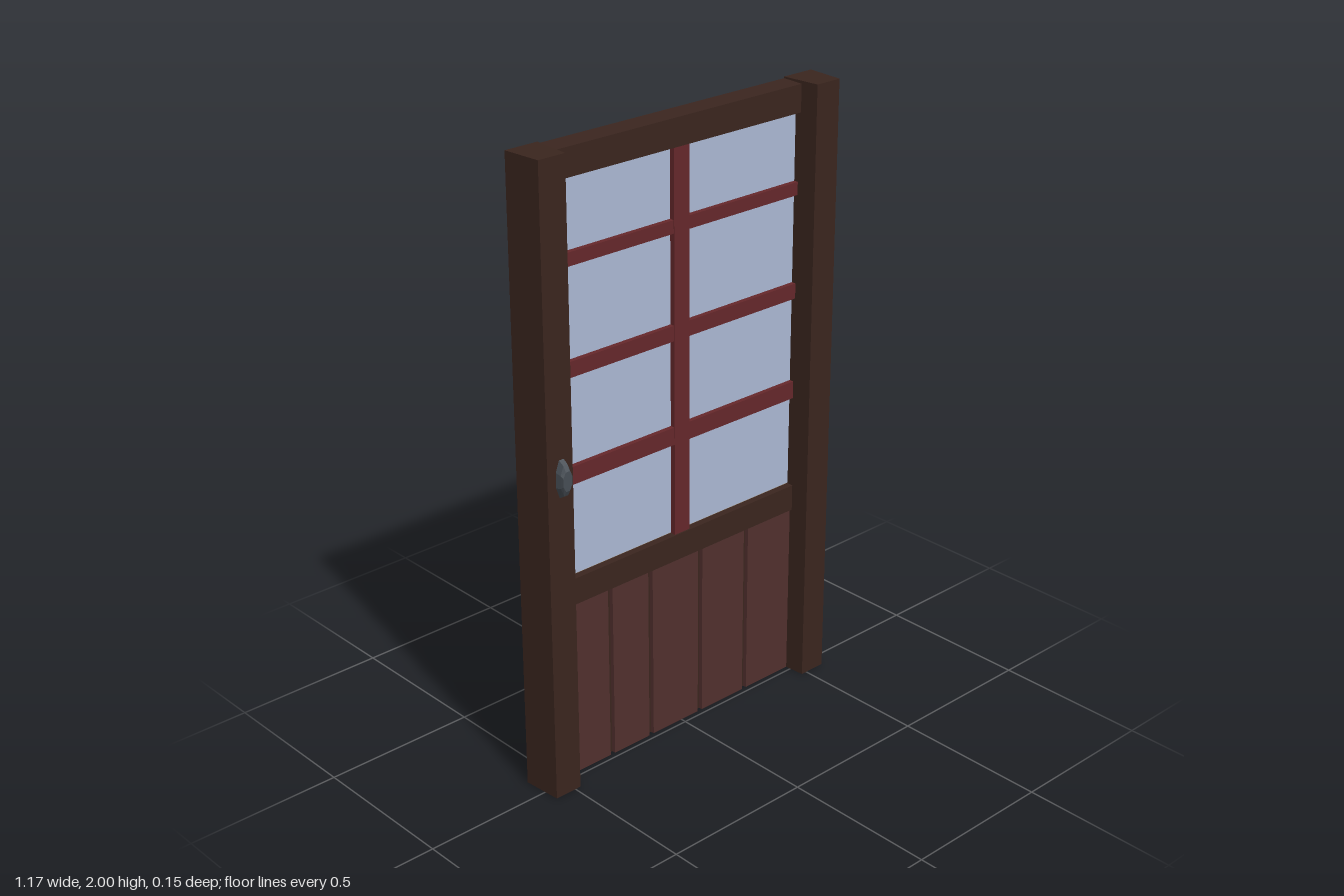
import * as THREE from 'three';

const mat = (color) => new THREE.MeshStandardMaterial({ color, side: THREE.DoubleSide, flatShading: true });

// Box faces in built-in order: 0 +x, 1 -x, 2 +y, 3 -y, 4 +z, 5 -z
function shell([x0, x1], [y0, y1], [zBack, zFront], taperX, taperY, omit) {
  const w = x1 - x0, h = y1 - y0;
  const g = new THREE.BoxGeometry(w, h, zFront - zBack);
  const p = g.attributes.position;
  // Narrow the front edge of the moulding
  for (let i = 0; i < p.count; i++) {
    if (p.getZ(i) > 0) {
      p.setX(i, p.getX(i) - Math.sign(p.getX(i)) * taperX);
      p.setY(i, p.getY(i) - Math.sign(p.getY(i)) * taperY);
    }
  }
  const index = Array.from(g.index.array).filter((_, i) => !omit.includes(Math.floor(i / 6)));
  g.setIndex(index);
  g.clearGroups();
  g.translate((x0 + x1) / 2, (y0 + y1) / 2, (zBack + zFront) / 2);
  g.computeVertexNormals();
  return g;
}

function sheet(w, y0, y1, z) {
  return new THREE.PlaneGeometry(w, y1 - y0).translate(0, (y0 + y1) / 2, z);
}

// Faceted oval dome lofted through rings of [z, radiusX, radiusY]
function ovalLoft(rings, sides) {
  const pos = [], idx = [];
  for (const [z, rx, ry] of rings) {
    for (let i = 0; i < sides; i++) {
      const a = ((i + 0.5) / sides) * Math.PI * 2;
      pos.push(rx * Math.cos(a), ry * Math.sin(a), z);
    }
  }
  for (let r = 0; r < rings.length - 1; r++) {
    for (let i = 0; i < sides; i++) {
      const a = r * sides + i, b = r * sides + ((i + 1) % sides);
      idx.push(a, b, a + sides, b, b + sides, a + sides);
    }
  }
  const last = (rings.length - 1) * sides;
  for (let i = 1; i < sides - 1; i++) idx.push(last, last + i, last + i + 1);
  const g = new THREE.BufferGeometry();
  g.setAttribute('position', new THREE.Float32BufferAttribute(pos, 3));
  g.setIndex(idx);
  g.computeVertexNormals();
  return g;
}

export function createModel() {
  const door = new THREE.Group();
  door.name = 'door';
  const frame = mat(0x3a251e), bar = mat(0x64272a), wood = mat(0x502f2d);
  const glass = mat(0xaab7d2), backing = mat(0xa99c88), metal = mat(0x464d54);
  const add = (name, geometry, material) => {
    const m = new THREE.Mesh(geometry, material);
    m.name = name;
    door.add(m);
    return m;
  };
  const back = -0.077, reach = 0.5;

  // Side posts, hollow and open at the back and foot
  add('leftPost', shell([0.47, 0.583], [0, 2], [back, 0.05], 0.01, 0, [3, 5]), frame);
  add('rightPost', shell([-0.583, -0.47], [0, 2], [back, 0.05], 0.01, 0, [3, 5]), frame);

  // Top and middle rails
  add('topRail', shell([-reach, reach], [1.9, 1.995], [back, -0.01], 0, 0.004, [0, 1, 5]), frame);
  add('middleRail', shell([-reach, reach], [0.585, 0.68], [back, -0.01], 0, 0.004, [0, 1, 5]), frame);

  // Glazing bars
  for (const [y0, y1] of [[0.975, 1.04], [1.31, 1.367], [1.643, 1.692]]) {
    add('crossBar', shell([-reach, reach], [y0, y1], [back, -0.016], 0, 0.004, [0, 1, 5]), bar);
  }
  add('uprightBar', shell([-0.034, 0.034], [0.66, 1.92], [back, -0.014], 0.004, 0, [2, 3, 5]), bar);

  // Glass and lower backing sheet
  add('glass', sheet(0.98, 0.68, 1.985, -0.03), glass);
  add('backingSheet', sheet(0.98, 0, 0.68, -0.032), backing);

  // Lower planks with dark grooves between them
  add('grooveSheet', sheet(0.98, 0, 0.6, -0.03), frame);
  const seams = [-reach, -0.29, -0.128, 0.08, 0.278, reach];
  for (let i = 0; i < seams.length - 1; i++) {
    add('plank', shell([seams[i] + 0.002, seams[i + 1] - 0.002], [0, 0.61], [back, -0.018], 0.007, 0, [2, 3, 5]), wood);
  }

  // Oval handle set through the right post
  const handle = add('handle', ovalLoft([
    [-0.06, 0.045, 0.11], [0.0, 0.036, 0.092], [0.05, 0.023, 0.064], [0.068, 0.02, 0.052], [0.077, 0.018, 0.033],
  ], 8), metal);
  handle.position.set(-0.521, 1.055, 0);

  return door;
}
